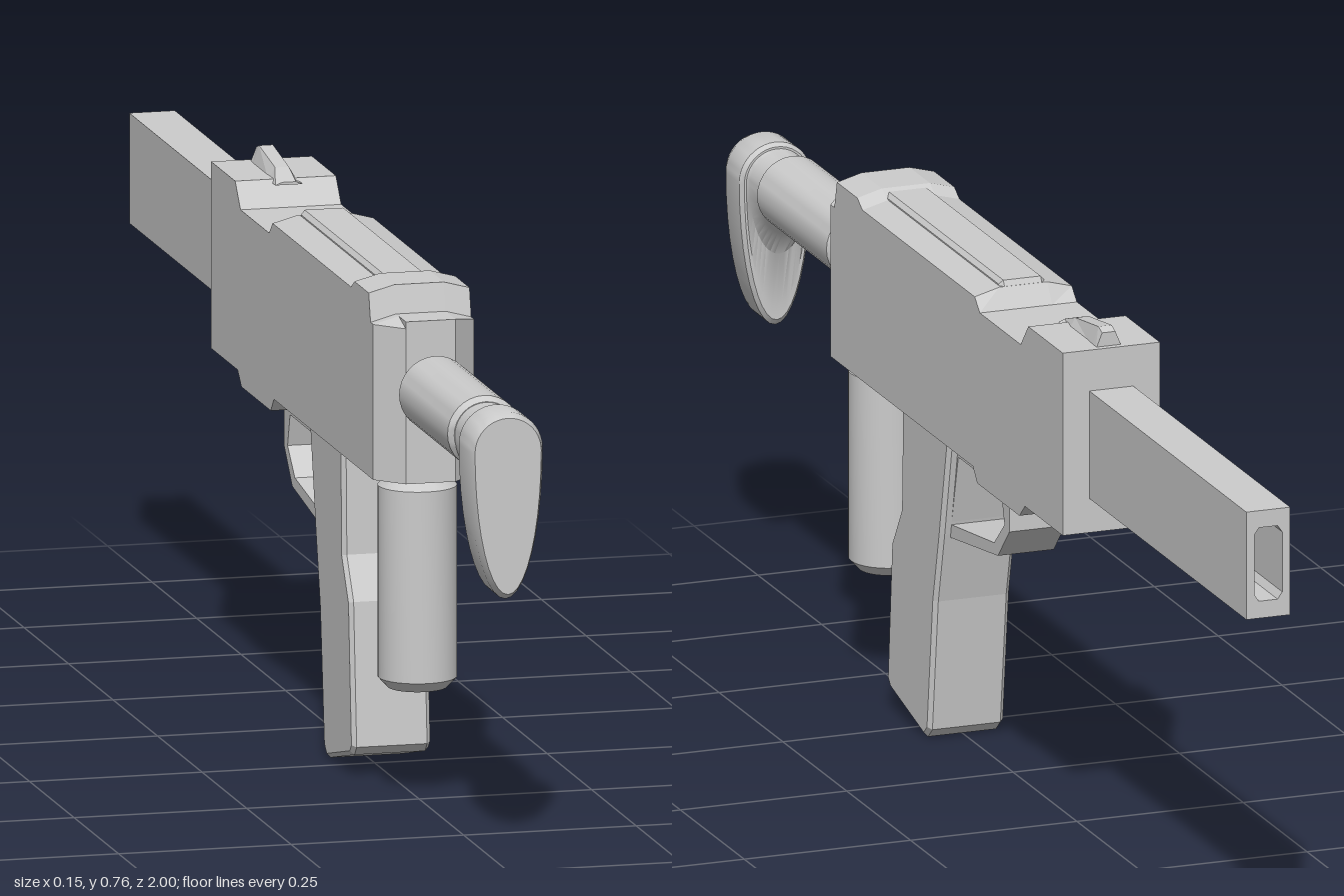
import * as THREE from 'three';
import { toCreasedNormals } from 'three/addons/utils/BufferGeometryUtils.js';

const material = new THREE.MeshStandardMaterial({ color: 0xcccccc, side: THREE.DoubleSide });

// Skin closed rings (counter-clockwise seen from +z, ascending z) and cap both ends.
function loft(rings) {
  const pos = [];
  const tri = (...points) => points.forEach((p) => pos.push(...p));
  const n = rings[0].length;
  const centre = (ring) => [0, 1, 2].map((k) => ring.reduce((s, p) => s + p[k], 0) / n);
  const first = rings[0], last = rings[rings.length - 1];
  for (let j = 0; j < n; j++) {
    const k = (j + 1) % n;
    for (let i = 0; i < rings.length - 1; i++) {
      const a = rings[i], b = rings[i + 1];
      tri(a[j], a[k], b[k]);
      tri(a[j], b[k], b[j]);
    }
    tri(centre(first), first[k], first[j]);
    tri(centre(last), last[j], last[k]);
  }
  const g = new THREE.BufferGeometry();
  g.setAttribute('position', new THREE.Float32BufferAttribute(pos, 3));
  g.computeVertexNormals();
  return g;
}

const polygon = (points, Type = THREE.Shape) => new Type(points.map(([a, b]) => new THREE.Vector2(a, b)));

// Extrude a (z, y) side profile across x, centred, with chamfered edges.
function sideExtrude(points, halfWidth, bevel = 0, hole = null) {
  const shape = polygon(points);
  if (hole) shape.holes.push(polygon(hole, THREE.Path));
  const depth = 2 * (halfWidth - bevel);
  return new THREE.ExtrudeGeometry(shape, {
    depth, bevelEnabled: bevel > 0, bevelSize: bevel, bevelThickness: bevel, bevelOffset: -bevel, bevelSegments: 1,
  }).translate(0, 0, -depth / 2).rotateY(-Math.PI / 2);
}

// Lathe a [radius, height] profile with crisp rims.
const turned = (profile) => toCreasedNormals(
  new THREE.LatheGeometry(profile.map(([r, h]) => new THREE.Vector2(r, h)), 32), 0.6);

export function createModel() {
  const group = new THREE.Group();
  const add = (name, geometry) => {
    const mesh = new THREE.Mesh(geometry, material);
    mesh.name = name;
    group.add(mesh);
    return mesh;
  };

  // Receiver stations: z, half width, shoulder height, crown height
  const receiver = [
    [-0.385, 0.073, 0.735, 0.735], [-0.25, 0.073, 0.735, 0.735],
    [-0.22, 0.073, 0.7, 0.7], [-0.06, 0.073, 0.7, 0.7],
    [-0.04, 0.073, 0.718, 0.728], [0.4, 0.073, 0.718, 0.728],
    [0.42, 0.073, 0.73, 0.74], [0.5, 0.073, 0.73, 0.74],
    [0.51, 0.073, 0.69, 0.7], [0.525, 0.073, 0.69, 0.7], [0.565, 0.036, 0.69, 0.7],
  ].map(([z, w, shoulder, crown]) => [
    [-w, 0.467, z], [w, 0.467, z], [w, shoulder, z],
    [0.036, crown, z], [-0.036, crown, z], [-w, shoulder, z],
  ]);
  add('receiver', loft(receiver));

  // Raised cover strip along the top
  add('topCover', sideExtrude([[0.42, 0.7], [0.42, 0.736], [-0.035, 0.736], [-0.055, 0.7]], 0.034, 0.006));

  // Shallow block below the receiver
  add('lowerBlock', sideExtrude([[-0.03, 0.47], [-0.05, 0.447], [-0.215, 0.447], [-0.24, 0.47]], 0.073));

  // Sight wedge
  const sight = [[-0.375, 0.755], [-0.36, 0.76], [-0.27, 0.747], [-0.23, 0.734]]
    .map(([z, top]) => [[-0.02, 0.73, z], [0.02, 0.73, z], [0.01, top, z], [-0.01, top, z]]);
  add('sight', loft(sight));

  // Hollow rectangular rear tube
  const tube = polygon([[-0.033, 0.517], [0.033, 0.517], [0.033, 0.675], [-0.033, 0.675]]);
  tube.holes.push(polygon([
    [-0.014, 0.542], [-0.021, 0.552], [-0.021, 0.64], [-0.014, 0.65],
    [0.014, 0.65], [0.021, 0.64], [0.021, 0.552], [0.014, 0.542],
  ], THREE.Path));
  add('rectangularTube', new THREE.ExtrudeGeometry(tube, { depth: 0.62, bevelEnabled: false }).translate(0, 0, -1));

  // Round tube and its narrow neck, pointing to the front
  const roundTube = add('roundTube', turned([
    [0.03, 0.55], [0.03, 0.575], [0.044, 0.582], [0.053, 0.593], [0.053, 0.865], [0.046, 0.875], [0, 0.875],
  ]).rotateX(Math.PI / 2));
  roundTube.position.y = 0.602;

  // Teardrop end pad stations: z, radius, depth below the axis
  const pad = [
    [0.865, 0.045, 0.052], [0.885, 0.045, 0.067], [0.915, 0.045, 0.105], [0.925, 0.046, 0.185],
    [0.925, 0.049, 0.205], [0.932, 0.054, 0.214], [0.985, 0.054, 0.214], [1, 0.048, 0.205],
  ].map(([z, r, depth]) => Array.from({ length: 40 }, (_, i) => {
    const a = (i / 40) * Math.PI * 2;
    return [r * Math.cos(a), 0.602 + Math.sin(a) * (a < Math.PI ? r : depth), z];
  }));
  add('endPad', toCreasedNormals(loft(pad), 0.6));

  // Vertical foregrip
  const foregrip = add('foregrip', turned([
    [0, 0.16], [0.042, 0.16], [0.056, 0.175], [0.056, 0.45], [0.044, 0.462], [0.044, 0.475],
  ]));
  foregrip.position.z = 0.49;

  // Angled main grip
  add('mainGrip', sideExtrude([
    [0.287, 0.48], [0.292, 0.31], [0.33, 0.25], [0.347, 0.045], [0.335, 0.032],
    [0.2, 0], [0.183, 0.015], [0.16, 0.21], [0.135, 0.315], [0.1, 0.48],
  ], 0.057, 0.006));

  // Trigger guard loop
  add('triggerGuard', sideExtrude(
    [[0.15, 0.47], [0.15, 0.308], [-0.05, 0.337], [-0.095, 0.385], [-0.095, 0.47]], 0.042, 0,
    [[0.132, 0.33], [0.105, 0.437], [-0.062, 0.437], [-0.076, 0.39], [-0.035, 0.352]]));

  return group;
}
